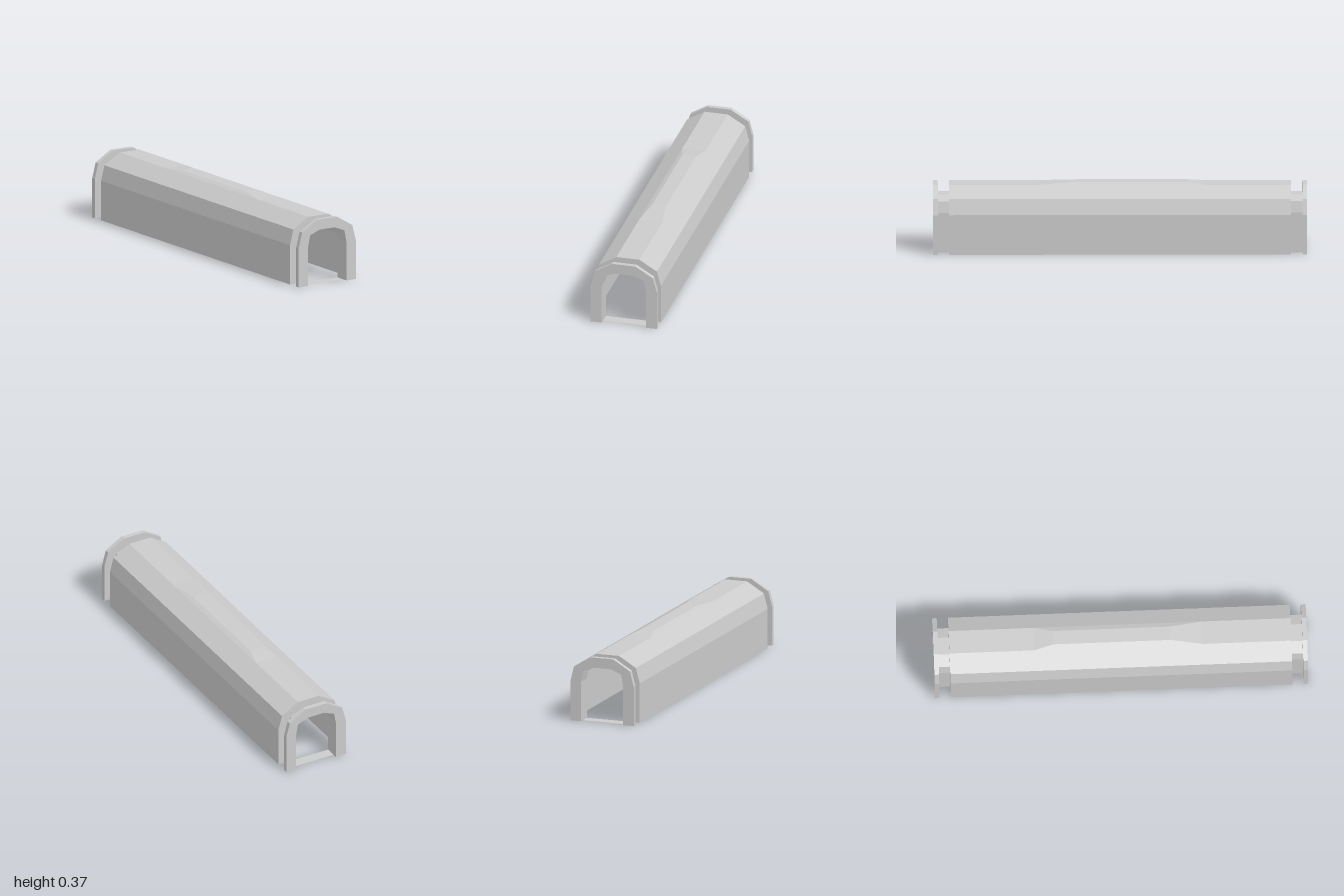
import * as THREE from 'three';

const material = new THREE.MeshStandardMaterial({ color: 0xcccccc, flatShading: true, side: THREE.DoubleSide });

// Right-to-left arch profile from its +x half
const mirror = (half) => [...half, ...half.map(([x, y]) => [-x, y]).reverse()];
const OUTER = mirror([[0.183, 0], [0.183, 0.216], [0.161, 0.299], [0.064, 0.357]]);
const INNER = mirror([[0.122, 0], [0.122, 0.216], [0.11, 0.277], [0.048, 0.301]]);
const BODY_END = 0.915, RING_BACK = 0.975;

// Skin between consecutive cross-sections { z, pts }, ordered by rising z
function loft(sections) {
  const pos = [];
  const tri = (a, b, c) => {
    const area = new THREE.Triangle(a, b, c).getArea();
    if (area > 1e-8) for (const p of [a, b, c]) pos.push(p.x, p.y, p.z);
  };
  for (let s = 0; s + 1 < sections.length; s++) {
    const [lo, hi] = [sections[s], sections[s + 1]];
    const at = (sec, i) => new THREE.Vector3(sec.pts[i][0], sec.pts[i][1], sec.z);
    for (let i = 0; i + 1 < lo.pts.length; i++) {
      tri(at(lo, i), at(lo, i + 1), at(hi, i + 1));
      tri(at(lo, i), at(hi, i + 1), at(hi, i));
    }
  }
  const geo = new THREE.BufferGeometry();
  geo.setAttribute('position', new THREE.Float32BufferAttribute(pos, 3));
  geo.computeVertexNormals();
  return geo;
}

function add(parent, name, geo) {
  const mesh = new THREE.Mesh(geo, material);
  mesh.name = name;
  parent.add(mesh);
  return mesh;
}

export function createModel() {
  const model = new THREE.Group();
  model.name = 'archedTunnel';

  // Long open-bottomed shell with a shallow raised crown mid-length
  const section = (z, w, h) => ({
    z, pts: [...OUTER.slice(0, 4), [w, h], [-w, h], ...OUTER.slice(4)],
  });
  add(model, 'shell', loft([
    section(-BODY_END, 0.064, 0.357),
    section(-0.46, 0.064, 0.357),
    section(-0.36, 0.038, 0.367),
    section(0.27, 0.038, 0.367),
    section(0.44, 0.064, 0.357),
    section(BODY_END, 0.064, 0.357),
  ]));

  // Arch-shaped band between the outer and inner profiles
  const arch = new THREE.Shape(
    [...OUTER, ...[...INNER].reverse()].map(([x, y]) => new THREE.Vector2(x, y)));

  for (const [label, turn] of [['front', 0], ['back', Math.PI]]) {
    const end = new THREE.Group();
    end.name = label + 'End';
    end.rotation.y = turn;
    model.add(end);

    // End wall of the shell
    add(end, 'endWall', new THREE.ShapeGeometry(arch)).position.z = BODY_END;

    // Recessed neck, closed underneath by a thin sill
    add(end, 'neck', loft([BODY_END, RING_BACK].map((z) => ({ z, pts: [...INNER, INNER[0]] }))));

    // Portal ring
    add(end, 'portalRing', new THREE.ExtrudeGeometry(arch, {
      depth: 1 - RING_BACK, bevelEnabled: false,
    })).position.z = RING_BACK;
  }
  return model;
}
